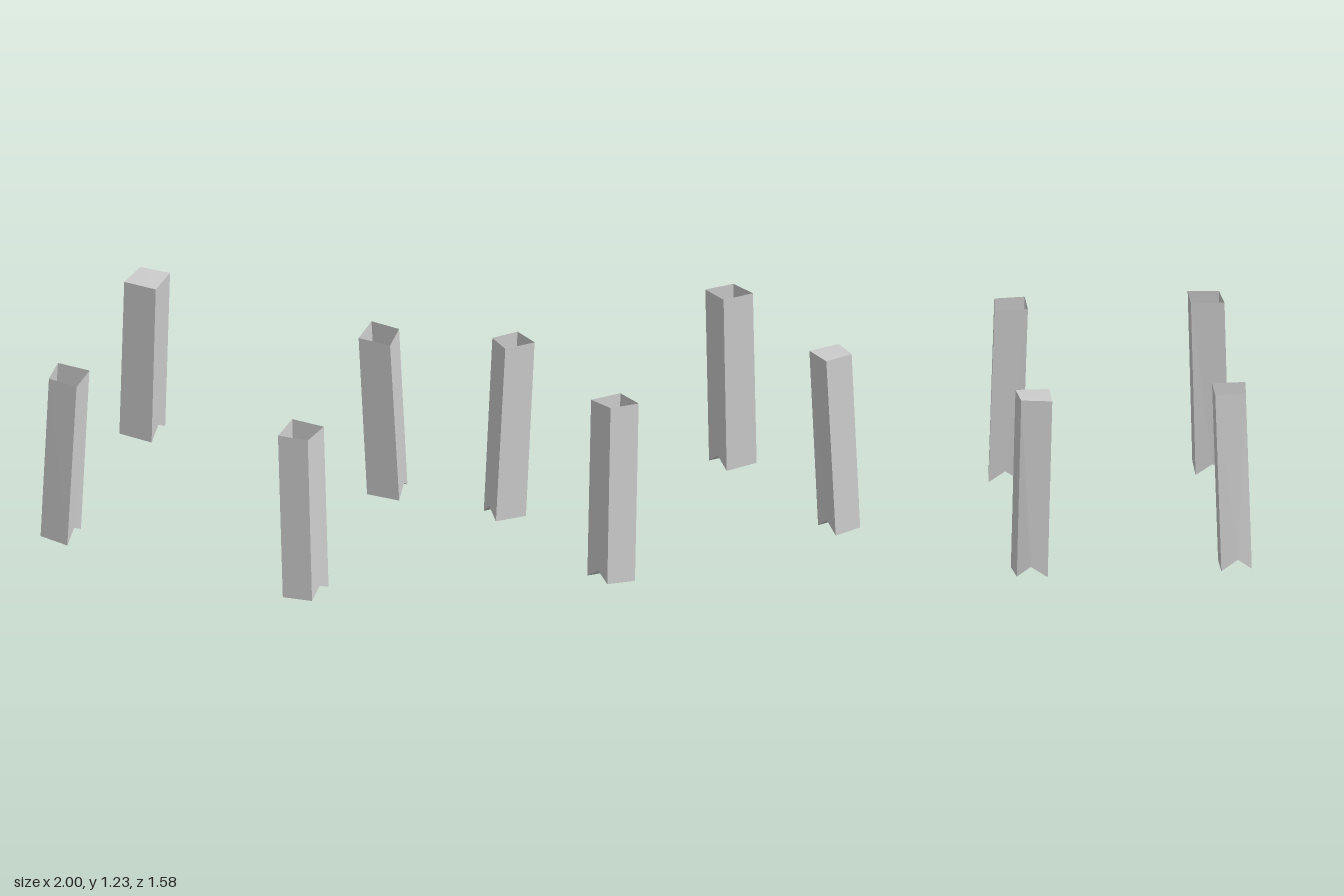
import * as THREE from 'three';

// Corners of the post at +x, +z (lower case: foot, upper case: top).
const CORNERS = {
  a: [0.77, 0, 0.57], b: [1.0, 0.01, 0.57], c: [0.97, 0.01, 0.77], d: [0.77, 0, 0.79],
  e: [0.985, 0.08, 0.68], f: [0.77, 0.072, 0.68], // ridge of the notch under the foot
  A: [0.725, 1.222, 0.535], B: [0.95, 1.222, 0.535], C: [0.925, 1.226, 0.737], D: [0.72, 1.222, 0.755],
};
const WALLS = ['baAB', 'ebBCc', 'dcCD', 'fdDAa'];
const NOTCH = ['abef', 'fecd'];
const CAP = ['ADCB'];

// Fan-triangulates the faces, mirrored into the quadrant (sx, sz).
function facesGeometry(faces, sx, sz) {
  const pos = [];
  const put = (k) => pos.push(CORNERS[k][0] * sx, CORNERS[k][1], CORNERS[k][2] * sz);
  for (const face of faces) {
    for (let i = 1; i < face.length - 1; i++) {
      const tri = [face[0], face[i], face[i + 1]];
      if (sx * sz < 0) tri.reverse(); // keep faces pointing outwards
      tri.forEach(put);
    }
  }
  const geo = new THREE.BufferGeometry();
  geo.setAttribute('position', new THREE.Float32BufferAttribute(pos, 3));
  geo.computeVertexNormals();
  return geo;
}

export function createModel() {
  const model = new THREE.Group();
  model.name = 'posts';
  const material = new THREE.MeshStandardMaterial({
    color: 0xcccccc, flatShading: true, side: THREE.DoubleSide,
  });

  for (const sx of [1, -1]) {
    for (const sz of [1, -1]) {
      const post = new THREE.Group();
      post.name = (sz > 0 ? 'front' : 'back') + (sx > 0 ? 'Left' : 'Right') + 'Post';
      const add = (name, faces) => {
        const mesh = new THREE.Mesh(facesGeometry(faces, sx, sz), material);
        mesh.name = name;
        post.add(mesh);
      };
      add('walls', WALLS);
      add('notchedFoot', NOTCH);
      // Only the back post on the -x side is closed on top
      if (sx < 0 && sz < 0) add('cap', CAP);
      model.add(post);
    }
  }
  return model;
}
